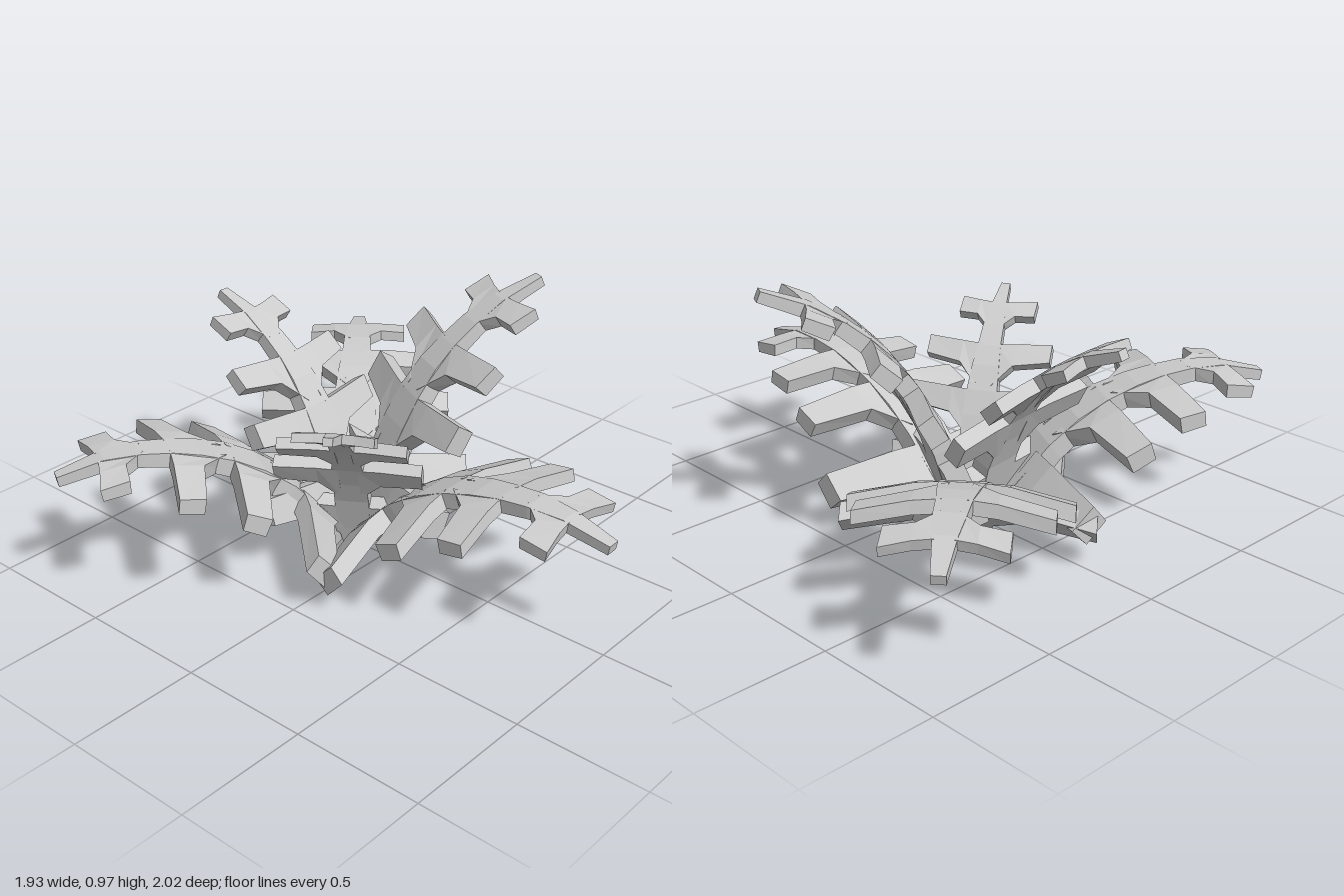
import * as THREE from 'three';

const LENGTH = 1.285; // unrolled frond length

// Spine profiles as [outward, up] points
const LOW = [[0.06, 0.03], [0.14, 0.12], [0.3, 0.28], [0.5, 0.395], [0.75, 0.46], [0.95, 0.47], [1.15, 0.43]];
const HIGH = [[0.04, 0.03], [0.12, 0.28], [0.2, 0.45], [0.28, 0.58], [0.4, 0.7], [0.53, 0.79], [0.7, 0.86]];

// Stem half widths as [distance along, half width]
const STEM = [[0, 0.06], [0.12, 0.085], [0.33, 0.09], [0.47, 0.085], [0.6, 0.08], [0.73, 0.07],
  [0.84, 0.06], [0.96, 0.055], [1.1, 0.04], [LENGTH, 0.024]];

// Leaflets: [side distance, back edge, front edge] at root, knee and tip
const LEAFLETS = [
  [[0.05, 0.06, 0.28], [0.18, 0.15, 0.29], [0.45, 0.19, 0.31]],
  [[0.05, 0.36, 0.6], [0.16, 0.48, 0.61], [0.38, 0.52, 0.63]],
  [[0.04, 0.625, 0.85], [0.14, 0.74, 0.86], [0.325, 0.78, 0.885]],
  [[0.03, 0.95, 1.12], [0.1, 1.03, 1.13], [0.2, 1.04, 1.155]],
];

// Bends flat prisms along a spine; wide scales sideways, droop lowers leaflet tips
function frondGeometry(profile, wide, droop) {
  const curve = new THREE.CatmullRomCurve3(profile.map(([r, y]) => new THREE.Vector3(0, y, r)));
  const positions = [];

  const bend = (u, s, lift) => {
    const t = THREE.MathUtils.clamp(s / LENGTH, 0, 1);
    const p = curve.getPointAt(t);
    const d = curve.getTangentAt(t);
    const h = lift * (0.042 - 0.024 * t) - droop * u * u;
    return [u * wide, p.y + d.z * h, p.z - d.y * h];
  };
  const quad = (a, b, c, d) => positions.push(...a, ...b, ...c, ...a, ...c, ...d);

  // Thick four-sided plate, corners counterclockwise from above
  const prism = (corners) => {
    const top = corners.map(([u, s]) => bend(u, s, 1));
    const low = corners.map(([u, s]) => bend(u, s, -1));
    quad(...top);
    quad(low[3], low[2], low[1], low[0]);
    for (let i = 0; i < 4; i++) {
      const j = (i + 1) % 4;
      quad(top[i], low[i], low[j], top[j]);
    }
  };

  // Stem
  for (let i = 0; i < STEM.length - 1; i++) {
    const [s0, w0] = STEM[i];
    const [s1, w1] = STEM[i + 1];
    prism([[-w0, s0], [-w1, s1], [w1, s1], [w0, s0]]);
  }

  // Mirrored leaflet pairs
  for (const rows of LEAFLETS) {
    for (let i = 0; i < 2; i++) {
      const [u0, b0, f0] = rows[i];
      const [u1, b1, f1] = rows[i + 1];
      const right = [[u0, b0], [u0, f0], [u1, f1], [u1, b1]];
      prism(right);
      prism(right.map(([u, s]) => [-u, s]).reverse());
    }
  }

  const geometry = new THREE.BufferGeometry();
  geometry.setAttribute('position', new THREE.Float32BufferAttribute(positions, 3));
  geometry.computeVertexNormals();
  return geometry;
}

export function createModel() {
  const model = new THREE.Group();
  model.name = 'fernPlant';
  const leafGrey = new THREE.MeshStandardMaterial({ color: 0xcccccc });
  leafGrey.name = 'leafGrey';

  const low = frondGeometry(LOW, 1, 0.42);
  const high = frondGeometry(HIGH, 0.86, 0.15);

  // Name, shape, root x and z, tip x and z, scale across, up and outward, roll
  const fronds = [
    ['lowFrontFrond', low, [0.03, -0.175], [0.02, 1], [1, 1, 1.022], 0.035],
    ['lowBackLeftFrond', low, [0.02, -0.18], [0.92, -0.94], [1, 0.94, 1.03], 0],
    ['lowBackRightFrond', low, [0.02, -0.185], [-0.95, -0.7], [1, 1.1, 0.96], 0],
    ['highBackFrond', high, [0.01, -0.15], [-0.03, -0.86], [1, 0.98, 1], 0.06],
    ['highLeftFrond', high, [0.02, -0.17], [0.72, 0.17], [1.1, 1.11, 1.1], 0],
    ['highRightFrond', high, [0.02, -0.15], [-0.46, 0.15], [0.84, 0.84, 0.82], 0],
  ];
  for (const [name, geometry, [x, z], [tipX, tipZ], scale, roll] of fronds) {
    const frond = new THREE.Mesh(geometry, leafGrey);
    frond.name = name;
    frond.position.set(x, 0, z);
    frond.rotation.set(0, Math.atan2(tipX - x, tipZ - z), roll, 'YXZ');
    frond.scale.set(...scale);
    model.add(frond);
  }
  return model;
}
